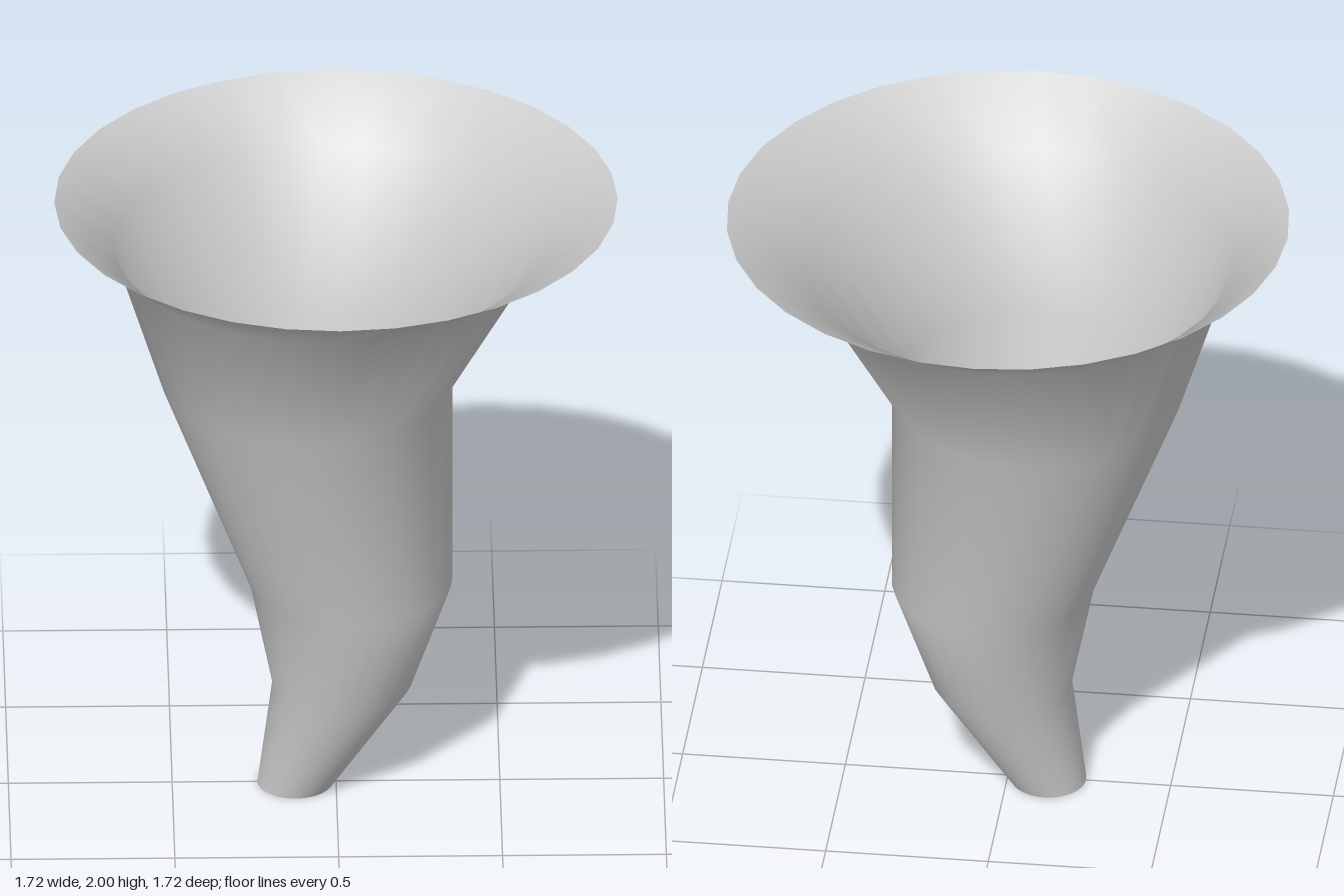
import * as THREE from 'three';
import { mergeVertices } from 'three/addons/utils/BufferGeometryUtils.js';

const SIDES = 32;

// Rings from the rim down: height, sideways shift of the centre, radius
const RINGS = [
  [2.0, 0, 0.86],
  [1.85, -0.03, 0.65],
  [1.39, -0.09, 0.445],
  [0.695, 0.045, 0.31],
  [0.345, 0.018, 0.213],
  [0, -0.125, 0.115],
];

export function createModel() {
  const group = new THREE.Group();
  group.name = 'bentFunnel';

  // Open tube whose rows are moved onto the rings
  let geometry = new THREE.CylinderGeometry(1, 1, 1, SIDES, RINGS.length - 1, true);
  const pos = geometry.attributes.position;
  for (let i = 0; i < pos.count; i++) {
    const [y, shift, radius] = RINGS[Math.floor(i / (SIDES + 1))];
    pos.setXYZ(i, shift + pos.getX(i) * radius, y, pos.getZ(i) * radius);
  }

  // Weld the seam so the shading is smooth all around
  geometry.deleteAttribute('uv');
  geometry.deleteAttribute('normal');
  geometry = mergeVertices(geometry);
  geometry.computeVertexNormals();

  const horn = new THREE.Mesh(
    geometry,
    new THREE.MeshStandardMaterial({ color: 0xcccccc, side: THREE.DoubleSide }),
  );
  horn.name = 'hornWall';
  group.add(horn);
  return group;
}
